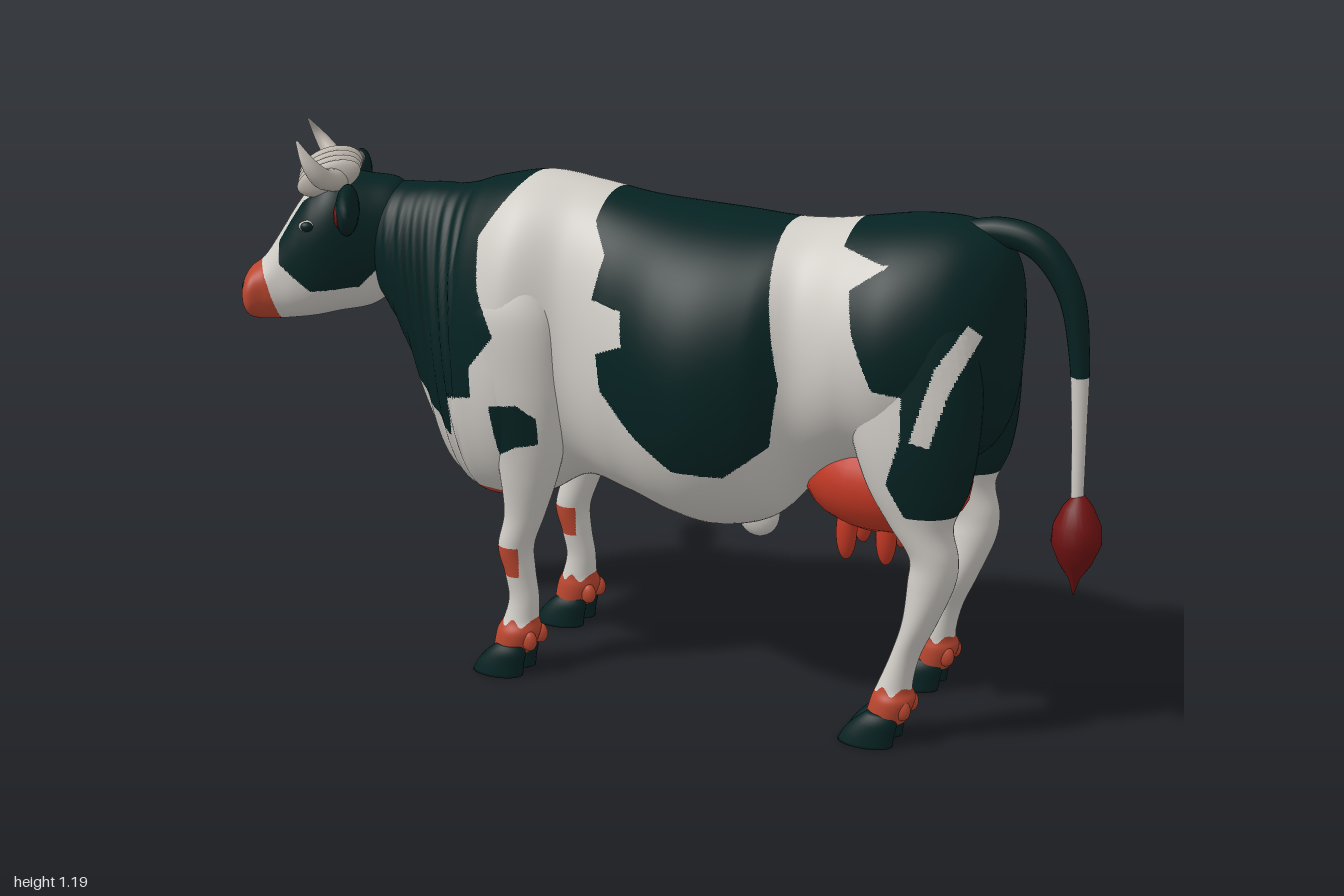
import * as THREE from 'three';

const mat = (name, color) => Object.assign(new THREE.MeshStandardMaterial({ color }), { name });
const M = {
  white: mat('white hide', 0xd0ccc6),
  dark: mat('dark hide', 0x062222),
  pink: mat('pink skin', 0xb9462f),
  udder: mat('udder red', 0xc23824),
  red: mat('deep red', 0x701212),
  horn: mat('horn', 0xbab3aa),
};

// Hide patches, outlined on the side (x, y)
const NECK = [[-.8, 1.2], [-.29, 1.2], [-.29, 1.13], [-.36, 1.01], [-.34, .9], [-.29, .81], [-.36, .73], [-.36, .66],
  [-.44, .64], [-.45, .54], [-.53, .63], [-.63, .76], [-.66, .8], [-.8, .8]];
const ELBOW = [[-.31, .65], [-.24, .66], [-.2, .63], [-.2, .57], [-.25, .56], [-.3, .53]];
const MIDDLE = [[-.1, 1.2], [.31, 1.2], [.31, 1.08], [.33, .95], [.36, .78], [.34, .64], [.25, .57], [.14, .575],
  [.04, .645], [-.04, .72], [-.05, .8], [.02, .83], [.01, .9], [-.07, .91], [-.055, 1], [-.1, 1.06]];
const RUMP = [[.46, 1.2], [.9, 1.2], [.9, .53], [.64, .53], [.6, .6], [.63, .7], [.63, .79], [.57, .8], [.52, .91],
  [.5, .99], [.57, 1.04], [.46, 1.06]];
const STREAK = [[.65, .7], [.69, .69], [.72, .8], [.765, .91], [.74, .935], [.69, .85]];
const OVAL = [[.67, .84], [.7, .9], [.75, .91], [.76, .83], [.7, .8]];
const FACE = [[.13, .9], [.13, .97], [.08, 1.03], [.03, 1.07], [-.05, 1.1], [-.25, 1.12], [-.25, .93], [-.1, .9],
  [-.05, .85], [.06, .84]];

function inside(poly, x, y) {
  let hit = false;
  poly.forEach(([ax, ay], i) => {
    const [bx, by] = poly[(i + 1) % poly.length];
    if ((ay > y) !== (by > y) && x < ax + (bx - ax) * (y - ay) / (by - ay)) hit = !hit;
  });
  return hit;
}

function hide(x, y, z) {
  if (inside(z > 0 ? STREAK : OVAL, x, y) && Math.abs(z) > .1) return 'white';
  return [NECK, ELBOW, MIDDLE, RUMP].some(p => inside(p, x, y)) ? 'dark' : 'white';
}

// Smooth interpolation through the key sections
function sample(keys, t) {
  const f = t * (keys.length - 1), i = Math.min(Math.floor(f), keys.length - 2), u = f - i;
  const k = j => keys[Math.max(0, Math.min(keys.length - 1, j))];
  return keys[0].map((_, n) => {
    const [a, b, c, d] = [k(i - 1)[n], k(i)[n], k(i + 1)[n], k(i + 2)[n]];
    return b + .5 * u * (c - a + u * (2 * a - 5 * b + 4 * c - d + u * (3 * (b - c) + d - a)));
  });
}

// Closed skin through sections; each face gets a colour from its centre
function loft(name, keys, rows, cols, put, colourOf) {
  const pos = [];
  let tris = [];
  for (let r = 0; r <= rows; r++) {
    const s = sample(keys, r / rows);
    for (let c = 0; c < cols; c++) {
      const a = c / cols * Math.PI * 2;
      pos.push(put(s, Math.cos(a), Math.sin(a)));
    }
  }
  for (let r = 0; r < rows; r++) for (let c = 0; c < cols; c++) {
    const a = r * cols + c, b = r * cols + (c + 1) % cols;
    tris.push([a, b, a + cols], [b, b + cols, a + cols]);
  }
  for (const r of [0, rows]) { // end caps
    const mid = [0, 1, 2].map(n => pos.slice(r * cols, r * cols + cols).reduce((t, p) => t + p[n], 0) / cols);
    const m = pos.push(mid) - 1;
    for (let c = 0; c < cols; c++) {
      const a = r * cols + c, b = r * cols + (c + 1) % cols;
      tris.push(r ? [a, b, m] : [b, a, m]);
    }
  }
  let volume = 0;
  const v = pos.map(p => new THREE.Vector3(...p)), cross = new THREE.Vector3();
  for (const [a, b, c] of tris) volume += cross.crossVectors(v[a], v[b]).dot(v[c]);
  // Split the faces along colour borders for clean outlines
  const half = (a, b) => pos.push(pos[a].map((p, n) => (p + pos[b][n]) / 2)) - 1;
  for (let pass = 0; pass < 2; pass++) tris = tris.flatMap(t => {
    if (new Set(t.map(i => colourOf(...pos[i]))).size === 1) return [t];
    const [a, b, c] = t, ab = half(a, b), bc = half(b, c), ca = half(c, a);
    return [[a, ab, ca], [ab, b, bc], [ca, bc, c], [ab, bc, ca]];
  });
  const sets = {};
  for (const [a, b, c] of tris) {
    const key = colourOf(...[0, 1, 2].map(n => (pos[a][n] + pos[b][n] + pos[c][n]) / 3));
    (sets[key] ??= []).push(...(volume > 0 ? [a, b, c] : [a, c, b]));
  }
  const g = new THREE.BufferGeometry(), index = [], mats = [];
  g.setAttribute('position', new THREE.Float32BufferAttribute(pos.flat(), 3));
  for (const key in sets) {
    g.addGroup(index.length, sets[key].length, mats.length);
    mats.push(M[key]);
    for (const i of sets[key]) index.push(i);
  }
  g.setIndex(index);
  g.computeVertexNormals();
  const mesh = new THREE.Mesh(g, mats);
  mesh.name = name;
  return mesh;
}

function blob(name, m, [x, y, z], [sx, sy, sz]) {
  const mesh = new THREE.Mesh(new THREE.SphereGeometry(1, 20, 14), m);
  mesh.name = name;
  mesh.position.set(x, y, z);
  mesh.scale.set(sx, sy, sz);
  return mesh;
}

const pw = (v, e) => Math.sign(v) * Math.abs(v) ** e;
const slab = ([x, top, bot, w, e], c, s) => [x, (top + bot) / 2 + (top - bot) / 2 * pw(c, e), w * pw(s, e)];

function makeHead() {
  // Local frame: +x towards the muzzle
  const head = new THREE.Group();
  head.name = 'head';
  const skull = [[-.17, 1.05, .9, .06, 1], [-.14, 1.08, .84, .09, .95], [-.08, 1.09, .79, .105, .9], [0, 1.1, .775, .115, .85],
    [.05, 1.07, .765, .11, .85], [.09, 1.02, .76, .096, .85], [.135, .95, .757, .078, .85], [.17, .9, .757, .072, .85],
    [.203, .873, .765, .074, .8], [.218, .85, .785, .058, .9], [.222, .83, .805, .02, 1]];
  head.add(loft('skull', skull, 90, 64, slab, (x, y, z) => {
    if (x > .145 + (y - .8) * .3 && y < .895) return 'pink';
    return (x < -.05 && y > .92) || (inside(FACE, x, y) && Math.abs(z) > .045) ? 'dark' : 'white';
  }));
  for (const s of [-1, 1]) {
    head.add(blob('ear', M.dark, [-.04, 1.05, s * .195], [.026, .054, .1]));
    head.add(blob('innerEar', M.red, [-.025, 1.045, s * .21], [.014, .03, .062]));
    head.add(blob('eyeRim', M.horn, [.058, .99, s * .092], [.022, .014, .012]));
    head.add(blob('eye', M.dark, [.06, .99, s * .096], [.016, .012, .012]));
    head.add(blob('nostril', M.dark, [.208, .84, s * .042], [.012, .013, .014]));
    const horn = [[-.005, 1.085, .04, .032], [0, 1.095, .09, .03], [.02, 1.11, .135, .025], [.045, 1.145, .15, .016], [.07, 1.19, .132, .003]];
    head.add(loft('horn', horn, 24, 16, ([x, y, z, r], c, n) =>
      [x + r * c, y + r * n * .75, s * (z - r * n * .65)], () => 'horn'));
  }
  // Curly forelock
  for (let i = -3; i <= 3; i++) {
    const lock = blob('forelock', M.horn, [.01, 1.105 - Math.abs(i) * .004, i * .022], [.075, .045 - Math.abs(i) * .003, .016]);
    lock.rotation.z = -.35;
    head.add(lock);
  }
  head.position.set(-.78, 0, .06);
  head.rotation.y = Math.PI + .467;
  return head;
}

function makeLeg(name, keys, side, hoofX, kneePatch) {
  const leg = new THREE.Group();
  leg.name = name;
  leg.add(loft('limb', keys, 90, 40, ([x, y, z, rx, rz], c, s) => [x + rx * c, y, side * (z + rz * s)], (x, y, z) => {
    if (y < .125 + .008 * Math.sin(x * 150)) return 'pink';
    if (kneePatch && y > .235 && y < .305 && x < -.27) return 'pink';
    return hide(x, y, z);
  }));
  // Cloven hoof and dewclaws
  const toe = [[.008, .075, .03, .016], [0, .055, .046, .026], [-.015, .027, .056, .031], [-.024, 0, .062, .034]];
  for (const t of [-1, 1]) {
    leg.add(loft('hoof', toe, 10, 24, ([x, y, rx, rz], c, s) =>
      [hoofX + x + rx * c, y, side * .157 + t * .032 + rz * s], () => 'dark'));
    leg.add(blob('dewclaw', M.pink, [hoofX + .053, .085, side * .153 + t * .027], [.019, .024, .014]));
  }
  return leg;
}

export function createModel() {
  const cow = new THREE.Group();
  cow.name = 'cow';

  // Neck, barrel and rump: x, top, bottom, half width, squareness
  const trunk = [[-.74, 1.04, .87, .06, 1], [-.66, 1.07, .79, .11, 1], [-.59, 1.075, .68, .13, .9], [-.54, 1.08, .54, .14, .9],
    [-.5, 1.08, .44, .15, .9], [-.45, 1.09, .39, .18, .95], [-.39, 1.11, .37, .215, .95], [-.28, 1.13, .385, .24, .9],
    [-.16, 1.12, .45, .195, .9], [-.04, 1.1, .43, .235, .95], [.08, 1.09, .4, .283, .95], [.18, 1.085, .39, .295, .95],
    [.29, 1.08, .42, .265, .95], [.38, 1.085, .51, .21, .95], [.48, 1.1, .575, .23, 1], [.58, 1.115, .575, .245, 1],
    [.68, 1.115, .59, .212, 1], [.75, 1.09, .63, .155, 1], [.79, 1.04, .7, .095, 1], [.803, .97, .8, .04, 1]];
  cow.add(loft('body', trunk, 210, 110, (s, c, n) => {
    const p = slab(s, c, n);
    if (p[0] > -.64 && p[0] < -.42) p[2] *= 1 + .03 * Math.sin(p[0] * 170 + p[1] * 20); // neck wrinkles
    return p;
  }, (x, y, z) => x > -.43 && x < -.24 && y < .41 ? 'pink' : hide(x, y, z)));
  cow.add(blob('navel', M.white, [.235, .41, 0], [.05, .056, .03]));
  cow.add(makeHead());

  // Legs: x, y, z and the two radii
  const fore = [[-.27, .95, .165, .05, .03], [-.28, .85, .168, .11, .07], [-.27, .7, .165, .11, .075], [-.25, .58, .155, .085, .07],
    [-.255, .48, .15, .068, .058], [-.27, .38, .145, .047, .046], [-.293, .3, .145, .04, .046], [-.285, .24, .145, .034, .04],
    [-.275, .18, .147, .034, .035], [-.28, .13, .15, .04, .04], [-.285, .1, .155, .05, .05], [-.3, .05, .155, .045, .05]];
  const hind = [[.61, 1, .13, .05, .03], [.61, .93, .135, .13, .075], [.625, .8, .14, .145, .09], [.635, .68, .147, .135, .088],
    [.645, .58, .15, .11, .075], [.655, .5, .152, .07, .058], [.685, .43, .15, .052, .052], [.682, .37, .147, .05, .054],
    [.66, .28, .144, .037, .055], [.632, .2, .15, .031, .038], [.612, .13, .152, .037, .04], [.61, .1, .155, .047, .05],
    [.595, .05, .155, .045, .05]];
  for (const s of [1, -1]) {
    cow.add(makeLeg('foreLeg', fore, s, -.3, true));
    cow.add(makeLeg('hindLeg', hind, s, .585, false));
  }

  // Udder with four teats
  cow.add(blob('udder', M.udder, [.53, .535, 0], [.187, .118, .135]));
  for (const x of [.46, .55]) for (const z of [-.055, .055]) cow.add(blob('teat', M.udder, [x, .42, z], [.023, .065, .023]));

  // Tail: x, y, tilt of the ring, radius
  const tail = [[.64, 1.075, 1.57, .025], [.75, 1.095, 1.45, .03], [.84, 1.07, .9, .031], [.905, .98, .4, .027],
    [.93, .85, .1, .021], [.938, .7, .04, .016], [.943, .53, 0, .013]];
  cow.add(loft('tail', tail, 70, 20, ([x, y, t, r], c, s) =>
    [x + r * c * Math.cos(t), y + r * c * Math.sin(t), r * s], (x, y) => y > .81 ? 'dark' : 'white'));
  const profile = [[0, .33], [.012, .37], [.035, .405], [.053, .45], [.05, .49], [.032, .53], [.012, .555], [0, .557]];
  const tuft = new THREE.Mesh(new THREE.LatheGeometry(profile.map(p => new THREE.Vector2(...p)), 24), M.red);
  tuft.name = 'tailTuft';
  tuft.position.x = .946;
  cow.add(tuft);
  return cow;
}
